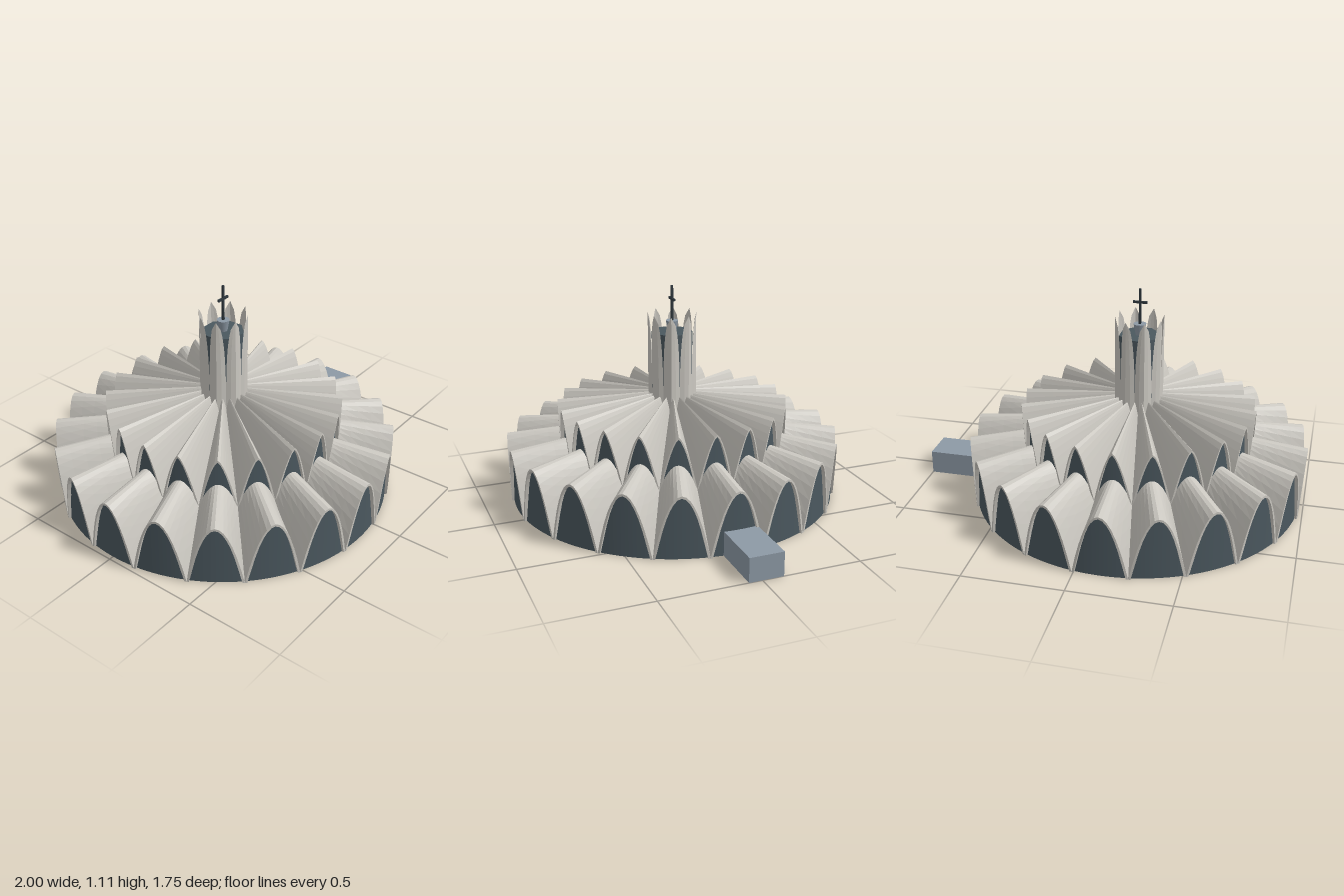
import * as THREE from 'three';

const CX = -0.127;      // axis of the round hall
const BAYS = 20;

const material = (name, color, side = THREE.FrontSide) => {
  const m = new THREE.MeshStandardMaterial({ color, side });
  m.name = name;
  return m;
};
const mix = (a, b, t) => a + (b - a) * t;
const polar = (r, a, y) => [r * Math.sin(a), y, r * Math.cos(a)];

// Faceted sheet from a rule f(u, v) -> [x, y, z], u in -1..1 and v in 0..1
function sheet(nu, nv, f) {
  const pos = [];
  const at = (i, j) => f((2 * i) / nu - 1, j / nv);
  for (let i = 0; i < nu; i++) {
    for (let j = 0; j < nv; j++) {
      const a = at(i, j), b = at(i + 1, j), c = at(i + 1, j + 1), d = at(i, j + 1);
      pos.push(...a, ...b, ...c, ...a, ...c, ...d);
    }
  }
  const g = new THREE.BufferGeometry();
  g.setAttribute('position', new THREE.Float32BufferAttribute(pos, 3));
  g.computeVertexNormals();
  return g;
}

export function createModel() {
  const root = new THREE.Group();
  root.name = 'roundHall';
  const concrete = material('paleConcrete', 0xcbc8c1, THREE.DoubleSide);
  const glass = material('darkGlass', 0x4b585f, THREE.DoubleSide);
  const slate = material('blueGrey', 0x8d99a5);
  const iron = material('darkIron', 0x30393f);

  const hall = new THREE.Group();
  hall.name = 'hall';
  hall.position.x = CX;
  root.add(hall);

  const add = (parent, name, geo, mat, x = 0, y = 0, z = 0) => {
    const m = new THREE.Mesh(geo, mat);
    m.name = name;
    m.position.set(x, y, z);
    parent.add(m);
    return m;
  };

  // A ring of vaulted folds: rim and inner ends each have ridge and valley heights
  function tier(name, o) {
    const group = new THREE.Group();
    group.name = name;
    hall.add(group);
    const half = Math.PI / BAYS;
    const bump = (u) => 1 - Math.pow(Math.abs(u), o.power);
    const rimR = (u) => mix(o.footR, o.rimR, bump(u));
    const rimY = (u) => mix(o.rimValley, o.rimRidge, bump(u));

    const vault = sheet(14, 4, (u, v) => polar(
      mix(rimR(u), o.innerR, v), u * half,
      mix(rimY(u), mix(o.innerValley, o.innerRidge, bump(u)), v)));
    // front edge of the shell, showing its thickness
    const edge = sheet(14, 1, (u, v) => polar(
      rimR(u), u * half * mix(1, 0.92, v),
      Math.max(o.rimValley, rimY(u) - 0.012 * v)));
    // inner lip that returns to the glazing
    const lip = sheet(14, 1, (u, v) => polar(
      rimR(u) - 0.018 * v, u * half * 0.92,
      Math.max(o.rimValley, rimY(u) - 0.012)));
    // glazing under the arch, down to the floor
    const pane = sheet(14, 1, (u, v) => polar(
      o.footR - 0.012, u * half,
      mix(0, Math.max(o.rimValley, rimY(u) - 0.004), v)));

    for (let i = 0; i < BAYS; i++) {
      const a = i * half * 2;
      add(group, 'vault', vault, concrete).rotation.y = a;
      add(group, 'archEdge', edge, concrete).rotation.y = a;
      add(group, 'archLip', lip, concrete).rotation.y = a;
      add(group, 'archGlazing', pane, glass).rotation.y = a;
    }
  }

  tier('lowerTier', {
    power: 2, rimR: 0.873, footR: 0.862, innerR: 0.585,
    rimRidge: 0.328, rimValley: 0, innerRidge: 0.36, innerValley: 0.235,
  });
  tier('upperTier', {
    power: 1.5, rimR: 0.603, footR: 0.592, innerR: 0.03,
    rimRidge: 0.51, rimValley: 0.235, innerRidge: 0.55, innerValley: 0.52,
  });

  // Octagonal tower core
  const tower = new THREE.Group();
  tower.name = 'tower';
  hall.add(tower);
  add(tower, 'towerCore',
    new THREE.CylinderGeometry(0.105, 0.105, 0.35, 8).toNonIndexed(), glass, 0, 0.695, 0)
    .rotation.y = Math.PI / 8;
  tower.children[0].geometry.computeVertexNormals();

  // Pointed shells folded around the eight corners
  const base = 0.47, tip = 0.97;
  const fin = sheet(4, 12, (u, v) => {
    const w = u * Math.sqrt(1 - v * v * v);
    return polar(0.125 - 0.014 * Math.abs(w), w * Math.PI / 8, mix(base, tip, v));
  });
  for (let i = 0; i < 8; i++) {
    add(tower, 'towerShell', fin, concrete).rotation.y = (i + 0.5) * Math.PI / 4;
  }

  // Cross on its flared pedestal
  add(tower, 'crossPedestal', new THREE.CylinderGeometry(0.032, 0.02, 0.065, 16), slate, 0, 0.895, 0);
  add(tower, 'crossPost', new THREE.BoxGeometry(0.011, 0.185, 0.011), iron, 0, 1.0175, 0);
  add(tower, 'crossBar', new THREE.BoxGeometry(0.072, 0.011, 0.011), iron, 0, 1.04, 0);

  // Entrance block
  add(root, 'entranceBlock', new THREE.BoxGeometry(0.305, 0.123, 0.174), slate, 0.8475, 0.0615, -0.02);
  return root;
}
